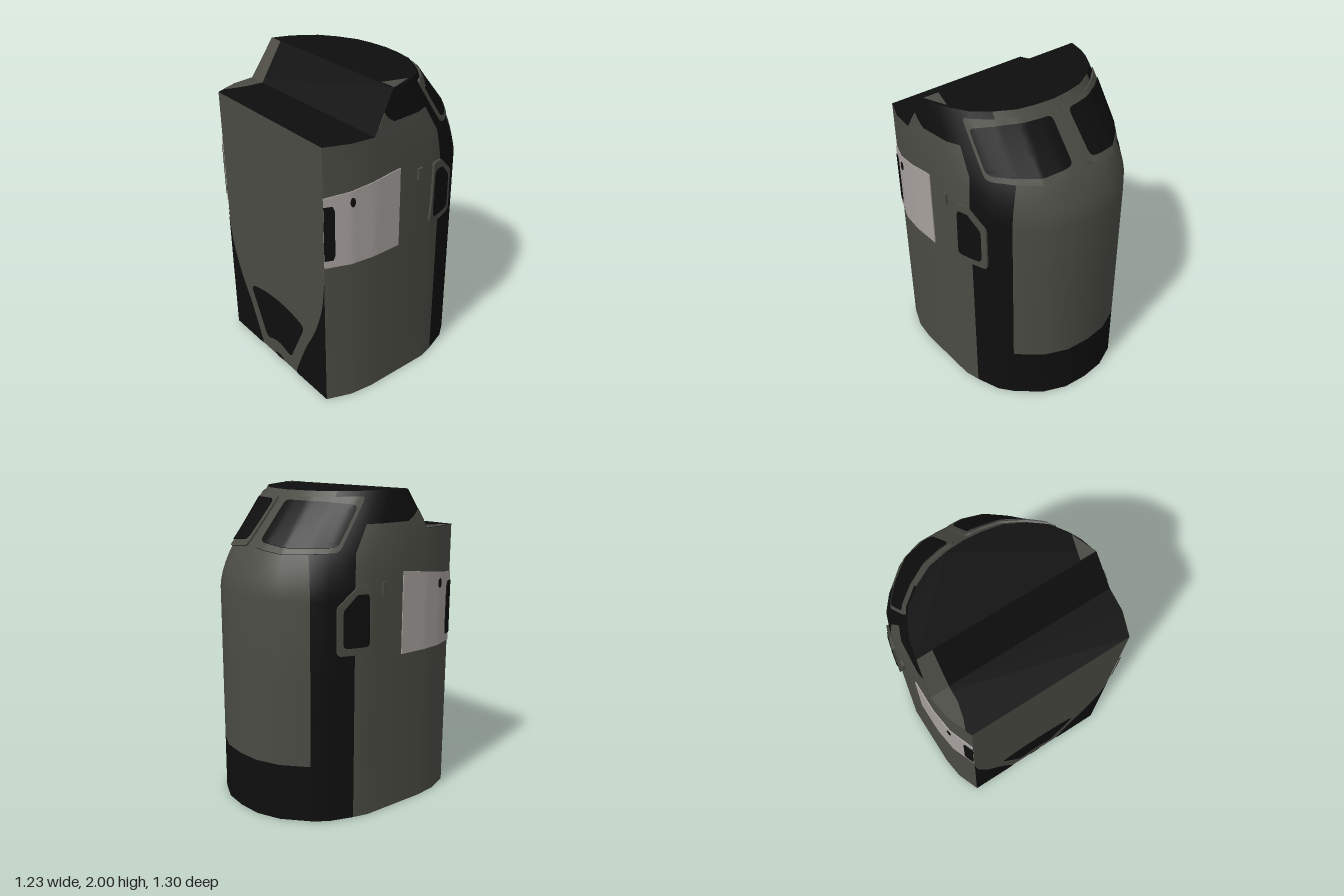
import * as THREE from 'three';
import { toCreasedNormals } from 'three/addons/utils/BufferGeometryUtils.js';

const flat = (name, color) => new THREE.MeshStandardMaterial({ name, color });
const V = (x, y, z) => new THREE.Vector3(x, y, z);

// Half outlines (x, z) from the rear centre round to the front corner
const LOW = [[0, -.65], [.16, -.635], [.31, -.57], [.455, -.44], [.52, -.355], [.575, -.2],
  [.6, -.1], [.6, .2], [.6, .35], [.58, .5], [.52, .65]];
const MID = [[0, -.545], [.14, -.54], [.27, -.495], [.39, -.4], [.47, -.31], [.55, -.18], [.59, -.08], [.6, .2], [.6, .35]];
const TOP = [[0, -.26], [.12, -.25], [.24, -.225], [.36, -.16], [.46, -.08], [.52, .02], [.55, .09], [.575, .2], [.575, .2]];
const mix = (a, b, t) => [a[0] + (b[0] - a[0]) * t, a[1] + (b[1] - a[1]) * t];

function column(i, y) {
  if (i > 8 || y <= 1.38) return LOW[i];
  if (i === 8) return mix(LOW[8], TOP[8], Math.max(0, (y - 1.76) / .24));
  if (y <= 1.64) return mix(LOW[i], MID[i], ((y - 1.38) / .26) ** 1.6);
  return mix(MID[i], TOP[i], (y - 1.64) / .36);
}

// Point on the shell: u runs along the outline, y is height, side is +1 or -1
function shell(u, y, side = 1) {
  u = Math.min(10, Math.max(0, u));
  const i = Math.min(9, Math.floor(u));
  const [x, z] = mix(column(i, y), column(i + 1, y), u - i);
  const drop = y > 1.64 ? .015 * (y - 1.64) / .36 * Math.max(0, (.2 - z) / .46) : 0;
  return V(x * side, y - drop, z);
}

// Outline position for a depth z on the lower wall
function uAt(z) {
  let i = 0;
  while (i < 9 && LOW[i + 1][1] < z) i++;
  return i + (z - LOW[i][1]) / (LOW[i + 1][1] - LOW[i][1]);
}

function fromTriangles(points) {
  return new THREE.BufferGeometry().setFromPoints(points);
}
function fan(list, pts) {
  for (let i = 1; i < pts.length - 1; i++) list.push(pts[0], pts[i], pts[i + 1]);
}

// Round the corners of a closed outline
function rounded(pts, r) {
  const out = [], n = pts.length;
  pts.forEach((p, i) => {
    const a = mix(p, pts[(i + n - 1) % n], r), b = mix(p, pts[(i + 1) % n], r);
    for (let k = 0; k <= 4; k++) out.push(mix(mix(a, p, k / 4), mix(p, b, k / 4), k / 4));
  });
  return out;
}

// Raised plate that follows the shell, with a skirt closing its edge
function plateGeometry(outline, lift, side) {
  const edge = [];
  outline.forEach((p, i) => {
    const q = outline[(i + 1) % outline.length];
    const n = Math.max(1, Math.ceil(Math.max(Math.abs(q[0] - p[0]) / .2, Math.abs(q[1] - p[1]) / .06)));
    for (let k = 0; k < n; k++) edge.push(mix(p, q, k / n));
  });
  const n = edge.length;
  let area = 0;
  edge.forEach((p, i) => { const q = edge[(i + 1) % n]; area += p[0] * q[1] - q[0] * p[1]; });
  const us = outline.map(p => p[0]), ys = outline.map(p => p[1]);
  const c = [(Math.min(...us) + Math.max(...us)) / 2, (Math.min(...ys) + Math.max(...ys)) / 2];
  const at = (p, h) => {
    const du = shell(p[0] + .25, p[1]).sub(shell(p[0] - .25, p[1]));
    const dy = shell(p[0], p[1] + .01).sub(shell(p[0], p[1] - .01));
    const q = shell(p[0], p[1]).addScaledVector(dy.cross(du).normalize(), h);
    q.x *= side;
    return q;
  };
  const K = 10, rings = [];
  for (let k = 0; k <= K; k++) rings.push(edge.map(p => at(mix(c, p, k / K), lift)));
  rings.push(edge.map(p => at(p, -.002)));
  const tri = [], flip = (area > 0) === (side > 0);
  const add = (a, b, d) => flip ? tri.push(a, d, b) : tri.push(a, b, d);
  for (let k = 0; k <= K; k++) for (let j = 0; j < n; j++) {
    const m = (j + 1) % n;
    if (k > 0) add(rings[k][j], rings[k + 1][m], rings[k][m]);
    add(rings[k][j], rings[k + 1][j], rings[k + 1][m]);
  }
  return toCreasedNormals(fromTriangles(tri), .6);
}

export function createModel() {
  const grey = flat('greyShell', 0x4b4b44);
  const black = flat('blackPaint', 0x0e0e0e);
  const pale = flat('palePanel', 0xa6a09c);
  const group = new THREE.Group();
  const add = (name, geo, mat) => {
    const mesh = new THREE.Mesh(geo, mat);
    mesh.name = name;
    group.add(mesh);
    return mesh;
  };

  // Main shell, sorted into grey and black faces
  const G = [], B = [];
  const rows = [0, .36, .9, 1.38, 1.43, 1.48, 1.53, 1.58, 1.64, 1.76, 1.81, 1.88, 2];
  for (const s of [1, -1]) for (let u = 0; u < 10; u++) for (let r = 0; r < rows.length - 1; r++) {
    const y0 = rows[r], y1 = rows[r + 1];
    if (u >= 8 && y1 > 1.76) continue;
    const isGrey = u < 3 ? y0 >= .36 : u >= 5 && y1 <= 1.81;
    const q = [shell(u, y0, s), shell(u, y1, s), shell(u + 1, y1, s), shell(u + 1, y0, s)];
    fan(isGrey ? G : B, s > 0 ? q : q.reverse());
  }
  // Roof, slope, shelf, front wall and underside
  const loop = (us, y) => [...us.map(u => shell(u, y)), ...us.slice(1).reverse().map(u => shell(u, y, -1))];
  fan(B, loop([0, 1, 2, 3, 4, 5, 6, 7], 2).reverse());
  fan(B, [V(-.6, 1.76, .35), V(.6, 1.76, .35), V(.575, 2, .2), V(-.575, 2, .2)]);
  fan(B, [V(-.6, 1.76, .35), V(-.58, 1.76, .5), V(-.52, 1.76, .65), V(.52, 1.76, .65), V(.58, 1.76, .5), V(.6, 1.76, .35)]);
  fan(G, [V(-.52, 0, .65), V(.52, 0, .65), V(.52, 1.76, .65), V(-.52, 1.76, .65)]);
  fan(B, loop([0, 1, 2, 3, 4, 5, 6, 7, 8, 9, 9.67], 0));
  fan(G, [shell(9.67, 0), shell(10, 0), shell(10, 0, -1), shell(9.67, 0, -1)]);
  const body = fromTriangles([...G, ...B]);
  body.addGroup(0, G.length, 0);
  body.addGroup(G.length, B.length, 1);
  add('shell', toCreasedNormals(body, .45), [grey, black]);

  // Details repeated on both sides
  const onWall = pts => pts.map(([z, y]) => [uAt(z), y]);
  const frame = rounded([[.3, 1.655], [2, 1.632], [4.35, 1.645], [4.45, 1.965], [2.6, 1.96], [.3, 1.96]], .1);
  const glass = rounded([[.52, 1.69], [2, 1.665], [4.2, 1.675], [4.27, 1.915], [2.6, 1.932], [.52, 1.935]], .14);
  const sideFrame = rounded(onWall([[-.085, 1.05], [-.31, 1.05], [-.31, 1.34], [-.19, 1.46], [-.11, 1.46]]), .1);
  const sideGlass = rounded(onWall([[-.115, 1.095], [-.275, 1.095], [-.275, 1.32], [-.195, 1.41], [-.12, 1.41]]), .14);
  const panel = onWall([[.155, 1], [.65, 1], [.65, 1.455], [.155, 1.515]]);
  const port = onWall([[.65, 1.05], [.6, 1.05], [.59, 1.08], [.59, 1.37], [.6, 1.4], [.65, 1.4]]);
  const spot = onWall([...Array(10).keys()].map(i =>
    [.49 + .016 * Math.cos(i * Math.PI / 5), 1.405 + .03 * Math.sin(i * Math.PI / 5)]));
  for (const s of [1, -1]) {
    const side = s > 0 ? 'left' : 'right';
    const plate = (name, outline, lift, mat) => add(side + name, plateGeometry(outline, lift, s), mat);
    plate('WindscreenFrame', frame, .012, grey);
    plate('WindscreenGlass', glass, .018, black);
    plate('SideWindowFrame', sideFrame, .016, grey);
    plate('SideWindowGlass', sideGlass, .021, black);
    plate('SidePanel', panel, .006, pale);
    plate('SidePort', port, .01, black);
    plate('PanelSpot', spot, .01, black);
    plate('ShoulderPatch', [[7, 1.81], [8, 1.81], [8, 1.88]], .004, grey);
    add(side + 'SideLug', new THREE.BoxGeometry(.024, .075, .035), grey).position.set(s * .602, 1.43, 0);
  }

  // Grey corner patches on the roof, slope and shelf
  const face = (name, pts, mat) => {
    const list = [];
    fan(list, pts);
    const geo = fromTriangles(list);
    geo.computeVertexNormals();
    add(name, geo, mat);
  };
  face('roofPatch', [V(.47, 2.002, .195), V(.575, 2.002, .195), V(.52, 2.002, .04)], grey);
  face('slopePatch', [V(-.6, 1.762, .353), V(-.48, 1.762, .353), V(-.478, 2.001, .203), V(-.575, 2.001, .203)], grey);
  face('shelfPatch', [V(-.6, 1.763, .35), V(-.58, 1.763, .5), V(-.535, 1.763, .61), V(-.51, 1.763, .55),
    V(-.485, 1.763, .45), V(-.48, 1.763, .35)], grey);

  // Painted markings on the front wall
  const paint = (name, shape) => add(name, new THREE.ShapeGeometry(shape, 10), black).position.z = .653;
  for (const s of [1, -1]) {
    const corner = new THREE.Shape();
    corner.moveTo(s * .52, 0);
    corner.lineTo(s * .52, .95);
    corner.splineThru([[.51, .8], [.48, .65], [.41, .465], [.305, .27], [.2, .03]].map(p => new THREE.Vector2(s * p[0], p[1])));
    corner.lineTo(s * .2, 0);
    paint(s > 0 ? 'leftFrontCorner' : 'rightFrontCorner', corner);
  }
  const wedge = new THREE.Shape();
  wedge.moveTo(-.15, .12);
  wedge.quadraticCurveTo(-.13, .09, -.09, .11);
  wedge.quadraticCurveTo(0, .15, .09, .11);
  wedge.quadraticCurveTo(.13, .09, .15, .12);
  wedge.lineTo(.285, .4);
  wedge.quadraticCurveTo(.295, .44, .25, .452);
  wedge.quadraticCurveTo(0, .52, -.25, .452);
  wedge.quadraticCurveTo(-.295, .44, -.285, .4);
  paint('frontWedge', wedge);
  const dot = new THREE.Shape();
  dot.absellipse(0, .015, .048, .014, 0, Math.PI * 2);
  paint('frontDot', dot);
  return group;
}
